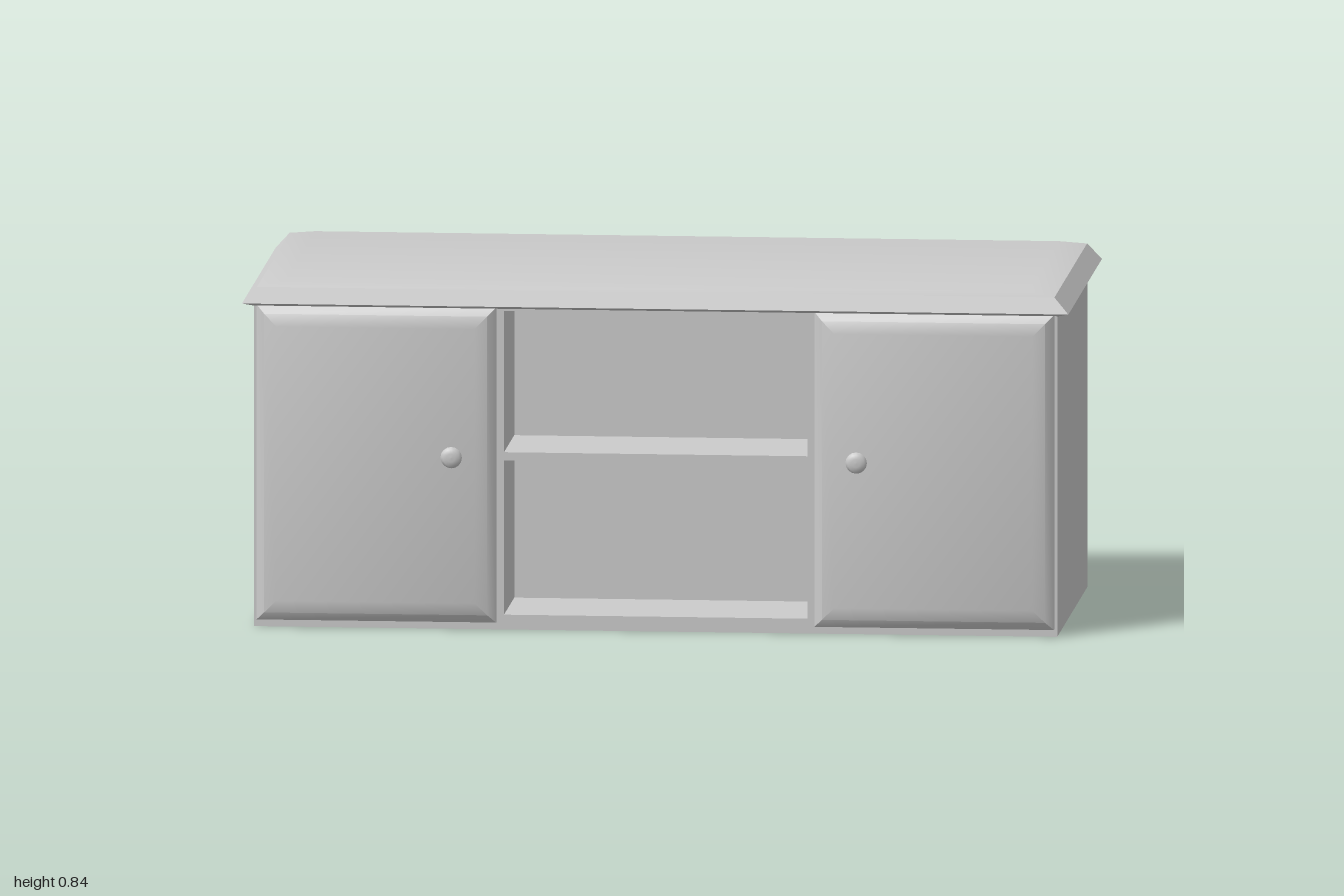
import * as THREE from 'three';
import { toCreasedNormals } from 'three/addons/utils/BufferGeometryUtils.js';

const material = new THREE.MeshStandardMaterial({ color: 0xcccccc });

function part(name, geometry, x = 0, y = 0, z = 0) {
  const mesh = new THREE.Mesh(geometry, material);
  mesh.name = name;
  mesh.position.set(x, y, z);
  return mesh;
}

// Stacks rectangles [halfWidth, halfHeight, z] into a closed slab with moulded edges
function mouldedSlab(rings, crease) {
  const points = [], index = [];
  for (const [w, h, z] of rings) points.push(-w, -h, z, w, -h, z, w, h, z, -w, h, z);
  for (let r = 0; r < rings.length - 1; r++) {
    for (let i = 0; i < 4; i++) {
      const a = r * 4 + i, b = r * 4 + (i + 1) % 4;
      index.push(a, b, b + 4, a, b + 4, a + 4);
    }
  }
  const e = (rings.length - 1) * 4;
  index.push(0, 2, 1, 0, 3, 2, e, e + 1, e + 2, e, e + 2, e + 3);
  const geometry = new THREE.BufferGeometry();
  geometry.setAttribute('position', new THREE.Float32BufferAttribute(points, 3));
  geometry.setIndex(index);
  return toCreasedNormals(geometry, crease);
}

function rectangle(PathType, x0, x1, y0, y1) {
  const path = new PathType();
  path.moveTo(x0, y0);
  path.lineTo(x1, y0);
  path.lineTo(x1, y1);
  path.lineTo(x0, y1);
  path.closePath();
  return path;
}

// Cabinet door with a softly rounded rim, its back at z = 0
function doorGeometry(depth) {
  const w = 0.29, h = 0.384;
  const profile = [[0, 0], [0, 0.3], [0.02, 0.8], [0.05, 1]];
  return mouldedSlab(profile.map(([inset, t]) => [w - inset, h - inset, t * depth]), 0.75);
}

function knobGeometry() {
  const profile = [[0, 0], [0.018, 0], [0.016, 0.009], [0.025, 0.013], [0.026, 0.018], [0.02, 0.024], [0.01, 0.026], [0, 0.0265]];
  const geometry = new THREE.LatheGeometry(profile.map(p => new THREE.Vector2(...p)), 16);
  return geometry.rotateX(Math.PI / 2);
}

// Pair of doors with knobs, facing +z
function doorPair(name, depth) {
  const group = new THREE.Group();
  group.name = name;
  for (const side of [-1, 1]) {
    group.add(part('door', doorGeometry(depth), side * 0.675, 0.402, 0));
    group.add(part('knob', knobGeometry(), side * 0.49, 0.425, depth - 0.001));
  }
  return group;
}

export function createModel() {
  const model = new THREE.Group();
  model.name = 'cabinetDesk';
  const cx = -0.003, front = 0.413, back = -0.4;

  // Carcass with two open shelf bays running through it
  const outline = rectangle(THREE.Shape, -0.972, 0.972, 0, 0.79);
  outline.holes.push(rectangle(THREE.Path, -0.367, 0.367, 0.036, 0.412));
  outline.holes.push(rectangle(THREE.Path, -0.367, 0.367, 0.432, 0.776));
  const carcass = new THREE.ExtrudeGeometry(outline, { depth: front - back, bevelEnabled: false });
  model.add(part('carcass', carcass, cx, 0, back));

  // Partition closing the bays between front and back
  model.add(part('shelfPartition', new THREE.BoxGeometry(0.75, 0.76, 0.26), cx, 0.406, 0.0065));

  // Doors on both long sides
  const frontDoors = doorPair('frontDoors', 0.036);
  frontDoors.position.set(cx, 0, front);
  const backDoors = doorPair('backDoors', 0.047);
  backDoors.rotation.y = Math.PI;
  backDoors.position.set(cx, 0, back);
  model.add(frontDoors, backDoors);

  // Overhanging worktop with a chamfered rim
  const top = mouldedSlab([
    [0.975, 0.43, 0.785], [1, 0.4535, 0.793], [0.965, 0.439, 0.832], [0.9, 0.404, 0.842],
  ], 0.5).rotateX(-Math.PI / 2);
  model.add(part('worktop', top, 0, 0, 0.0065));

  return model;
}
